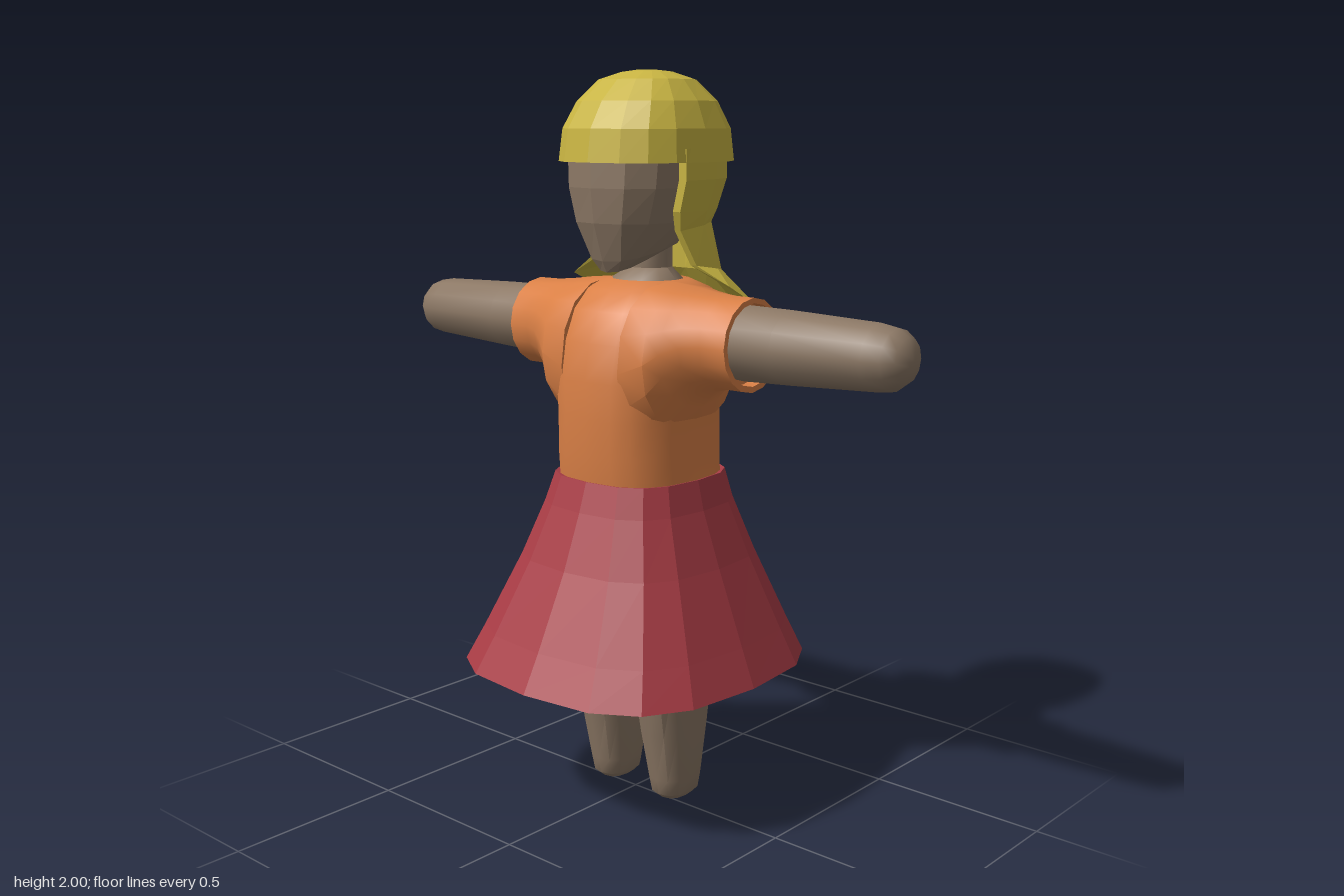
import * as THREE from 'three';
import { toCreasedNormals } from 'three/addons/utils/BufferGeometryUtils.js';

const material = (name, color) => Object.assign(new THREE.MeshStandardMaterial({ color }), { name });

const spow = (v, p) => Math.sign(v) * Math.pow(Math.abs(v), 2 / p);
const lerp = THREE.MathUtils.lerp;

// Rounded-square loop; y runs from yFront to yBack so a loop can tilt
function ring({ y, yBack = y, hx, zf, zb, p = 2.5, cx = 0 }, sides) {
  return Array.from({ length: sides }, (_, i) => {
    const a = (i / sides) * Math.PI * 2;
    const c = spow(Math.cos(a), p);
    return [cx + hx * spow(Math.sin(a), p), lerp(yBack, y, (c + 1) / 2), lerp(zb, zf, (c + 1) / 2)];
  });
}

// U-shaped loop around the back of the head, with an inner wall
function uRing({ y, yBack = y, hx, zf, zb, p = 2.5, t }, steps = 8) {
  const wall = (inset) => Array.from({ length: steps + 1 }, (_, i) => {
    const a = (i / steps) * Math.PI;
    const s = spow(Math.sin(a), p);
    return [(hx - inset) * spow(Math.cos(a), p), lerp(y, yBack, s), lerp(zf, zb + inset, s)];
  });
  return [...wall(0), ...wall(t).reverse()];
}

// Upright loop across an arm
function armRing({ x, lo, hi, zf, zb, p = 2 }, side, sides) {
  return Array.from({ length: sides }, (_, i) => {
    const a = (i / sides) * Math.PI * 2;
    return [side * x, (lo + hi) / 2 + ((hi - lo) / 2) * spow(Math.cos(a), p),
      (zf + zb) / 2 + ((zf - zb) / 2) * spow(Math.sin(a), p)];
  });
}

// Skin a stack of loops; crease 0 gives flat facets
function loft(rings, { caps = true, flip = false, crease = 0 } = {}) {
  const n = rings[0].length;
  const pos = rings.flat(2);
  const index = [];
  const tri = (a, b, c) => index.push(a, flip ? c : b, flip ? b : c);
  for (let i = 0; i < rings.length - 1; i++) {
    for (let j = 0; j < n; j++) {
      const k = (j + 1) % n;
      const a = i * n + j, b = i * n + k, c = a + n, d = b + n;
      tri(a, b, d);
      tri(a, d, c);
    }
  }
  if (caps) {
    for (const r of [0, rings.length - 1]) {
      const centre = pos.length / 3;
      for (let k = 0; k < 3; k++) pos.push(rings[r].reduce((s, v) => s + v[k], 0) / n);
      for (let j = 0; j < n; j++) {
        const a = r * n + j, b = r * n + ((j + 1) % n);
        if (r === 0) tri(centre, b, a); else tri(centre, a, b);
      }
    }
  }
  const g = new THREE.BufferGeometry();
  g.setAttribute('position', new THREE.Float32BufferAttribute(pos, 3));
  g.setIndex(index);
  if (crease) return toCreasedNormals(g, crease);
  const flat = g.toNonIndexed();
  flat.computeVertexNormals();
  return flat;
}

const rows = (list, p) => list.map(([y, hx, zf, zb, yBack = y]) => ({ y, hx, zf, zb, yBack, p }));

export function createModel() {
  const model = new THREE.Group();
  model.name = 'girl';
  const skin = material('skin', 0x8c7865);
  const orange = material('orange shirt', 0xda8046);
  const red = material('red skirt', 0xa83c45);
  const blonde = material('blonde hair', 0xc8b442);
  const add = (name, geometry, mat) => {
    const mesh = new THREE.Mesh(geometry, mat);
    mesh.name = name;
    model.add(mesh);
  };

  // Head with a pointed jaw, and neck
  add('head', loft(rows([
    [1.48, 0.055, 0.115, -0.08, 1.54], [1.51, 0.09, 0.13, -0.13, 1.56], [1.61, 0.14, 0.163, -0.18],
    [1.7, 0.17, 0.174, -0.21], [1.82, 0.18, 0.172, -0.22],
  ], 2.5).map((r) => ring(r, 12))), skin);
  add('neck', loft(rows([
    [1.4, 0.12, 0.07, -0.16], [1.456, 0.1, 0.045, -0.14], [1.485, 0.06, 0, -0.12], [1.62, 0.06, 0, -0.12],
  ], 2).map((r) => ring(r, 12)), { crease: 0.9 }), skin);

  // Hair: cap over the skull and a long flared fall behind
  add('hairCap', loft(rows([
    [1.765, 0.18, 0.165, -0.24], [1.765, 0.208, 0.185, -0.273], [1.85, 0.2, 0.173, -0.262],
    [1.92, 0.172, 0.13, -0.222], [1.975, 0.125, 0.07, -0.16], [1.995, 0.07, 0.01, -0.1], [2, 0.03, -0.02, -0.06],
  ], 2.5).map((r) => ring(r, 16))), blonde);
  add('hairFall', loft([
    { y: 1.45, yBack: 1.34, hx: 0.28, zf: -0.05, zb: -0.29, p: 3.2, t: 0 },
    { y: 1.5, yBack: 1.47, hx: 0.19, zf: -0.025, zb: -0.225, p: 2.8, t: 0.02 },
    { y: 1.59, yBack: 1.61, hx: 0.165, zf: 0.01, zb: -0.22, t: 0.02 },
    { y: 1.64, hx: 0.18, zf: 0.03, zb: -0.24, t: 0.025 },
    { y: 1.72, hx: 0.2, zf: 0.03, zb: -0.267, t: 0.025 },
    { y: 1.8, hx: 0.2, zf: 0.03, zb: -0.265, t: 0.025 },
  ].map((r) => uRing(r)), { caps: false }), blonde);

  // Shirt body
  add('shirt', loft(rows([
    [0.915, 0.2, 0.19, -0.228], [1.0, 0.196, 0.2, -0.23], [1.1, 0.195, 0.2, -0.23], [1.2, 0.205, 0.2, -0.235],
    [1.3, 0.21, 0.182, -0.24], [1.38, 0.2, 0.148, -0.235], [1.43, 0.17, 0.098, -0.195], [1.455, 0.105, 0.05, -0.15],
  ], 2.6).map((r) => ring(r, 20)), { crease: 0.7 }), orange);

  // Skirt: flared outer wall and inner lining
  const skirtRows = rows([
    [0.4, 0.42, 0.44, -0.44], [0.5, 0.375, 0.385, -0.395], [0.7, 0.288, 0.285, -0.31],
    [0.85, 0.23, 0.225, -0.255], [0.93, 0.207, 0.198, -0.236],
    [0.925, 0.18, 0.17, -0.21], [0.7, 0.26, 0.255, -0.28], [0.41, 0.393, 0.412, -0.412],
    [0.4, 0.42, 0.44, -0.44],
  ], 2.8);
  add('skirt', loft(skirtRows.map((r) => ring(r, 16)), { caps: false }), red);

  for (const side of [1, -1]) {
    const label = side > 0 ? 'left' : 'right';
    const across = (list, sides, opts) => loft(
      list.map(([x, lo, hi, zf, zb, p]) => armRing({ x, lo, hi, zf, zb, p }, side, sides)),
      { ...opts, flip: side < 0, crease: 0.7 });

    // Sleeve blending out of the shirt, ending in an open cuff
    add(label + 'Sleeve', across([
      [0.1, 1.0, 1.456, 0.185, -0.22, 2.3], [0.18, 1.07, 1.448, 0.178, -0.215, 2.2],
      [0.215, 1.13, 1.443, 0.155, -0.195], [0.26, 1.175, 1.437, 0.13, -0.168],
      [0.31, 1.188, 1.433, 0.11, -0.148], [0.383, 1.187, 1.432, 0.1, -0.14],
      [0.383, 1.203, 1.418, 0.085, -0.128], [0.35, 1.205, 1.416, 0.083, -0.126],
    ], 16, { caps: true }), orange);

    // Arm with rounded end
    add(label + 'Arm', across([
      [0.3, 1.211, 1.412, 0.076, -0.13], [0.5, 1.219, 1.41, 0.073, -0.125], [0.76, 1.233, 1.402, 0.065, -0.113],
      [0.81, 1.24, 1.394, 0.055, -0.103], [0.84, 1.262, 1.374, 0.033, -0.081], [0.857, 1.295, 1.342, 0, -0.048],
    ], 12, {}), skin);

    // Tapered leg with blunt foot
    const legRows = rows([
      [0, 0.04, 0.01, -0.1], [0.015, 0.053, 0.028, -0.118], [0.06, 0.06, 0.037, -0.125],
      [0.2, 0.073, 0.066, -0.143], [0.4, 0.083, 0.105, -0.168], [0.65, 0.092, 0.14, -0.19], [0.9, 0.097, 0.165, -0.2],
    ], 2.5).map((r) => ({ ...r, cx: side * 0.111 }));
    add(label + 'Leg', loft(legRows.map((r) => ring(r, 12)), { crease: 0.7 }), skin);
  }
  return model;
}
